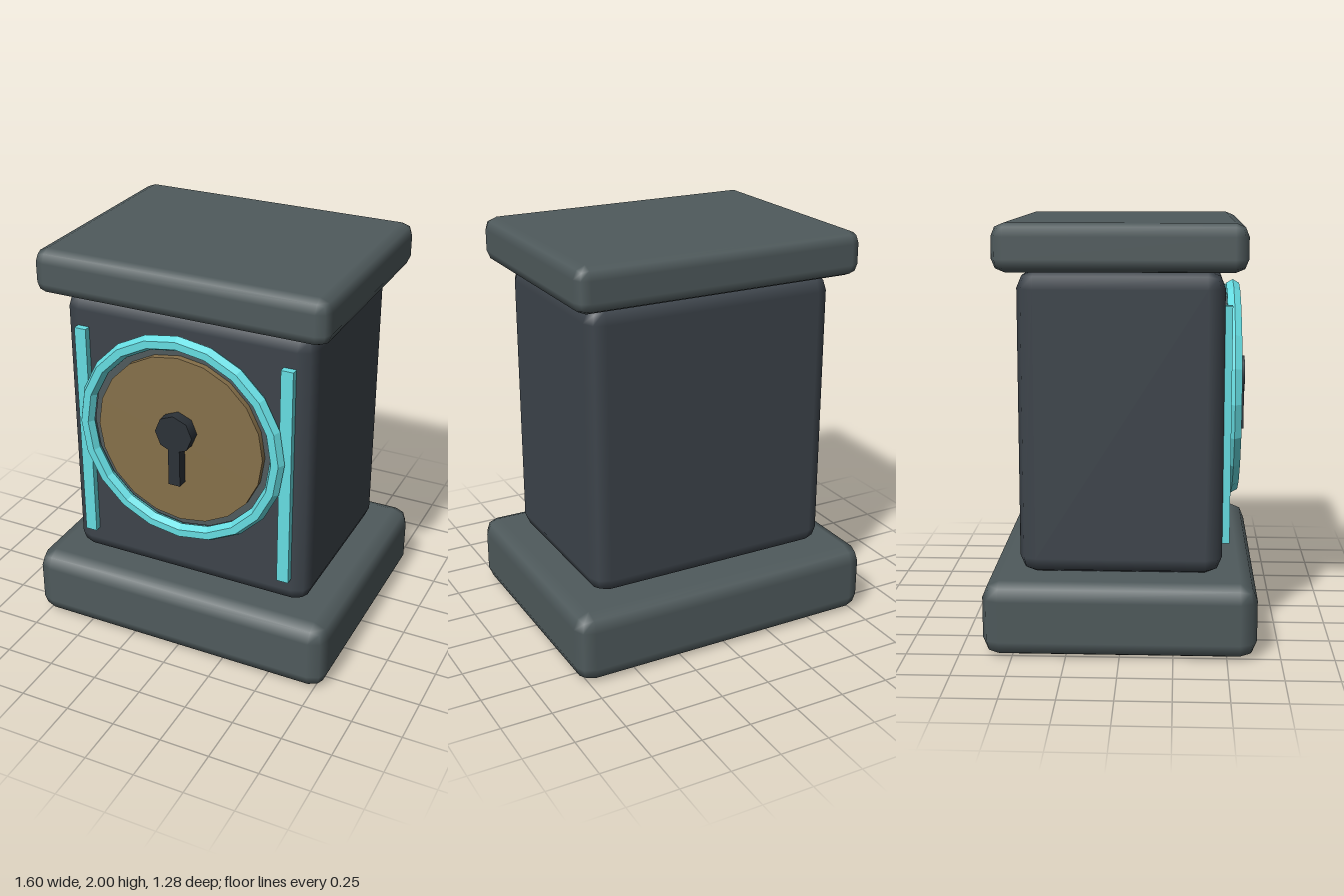
import * as THREE from 'three';
import { RoundedBoxGeometry } from 'three/addons/geometries/RoundedBoxGeometry.js';

const material = (color, flatShading = false) => new THREE.MeshStandardMaterial({ color, flatShading });

export function createModel() {
  const model = new THREE.Group();
  model.name = 'lockedPillarSafe';

  const stone = material(0x4f5a5c);
  const dark = material(0x3d444b);
  const glow = material(0x66dde2, true);
  const brass = material(0x86704a);
  const black = material(0x2c3238);

  const add = (name, geometry, mat, x, y, z) => {
    const mesh = new THREE.Mesh(geometry, mat);
    mesh.name = name;
    mesh.position.set(x, y, z);
    model.add(mesh);
    return mesh;
  };

  // Block with one-step bevelled edges, standing between two heights
  const block = (name, w, y0, y1, d, radius, mat) =>
    add(name, new RoundedBoxGeometry(w, y1 - y0, d, 1, radius), mat, 0, (y0 + y1) / 2, 0);

  // Disc facing the front, between two depths
  const disc = (name, radius, sides, y, z0, z1, mat) =>
    add(name, new THREE.CylinderGeometry(radius, radius, z1 - z0, sides).rotateX(Math.PI / 2),
      mat, 0, y, (z0 + z1) / 2);

  // Plinth, body and cap
  block('base', 1.6, 0, 0.355, 1.28, 0.08, stone);
  block('body', 1.28, 0.355, 1.78, 0.955, 0.08, dark);
  block('cap', 1.47, 1.78, 2, 1.15, 0.06, stone);

  // Round lock: backing, brass face and hexagonal-section ring
  const lockY = 1.157;
  disc('lockBacking', 0.47, 20, lockY, 0.46, 0.51, stone);
  disc('lockFace', 0.43, 20, lockY, 0.47, 0.54, brass);
  add('lockRing', new THREE.TorusGeometry(0.5, 0.037, 6, 20), glow, 0, lockY, 0.53);

  // Keyhole
  disc('keyholeTop', 0.096, 8, 1.217, 0.5, 0.595, black);
  add('keyholeSlot', new THREE.BoxGeometry(0.06, 0.25, 0.095), black, 0, 1.07, 0.547);

  // Glowing strips either side
  for (const side of [-1, 1]) {
    add(side > 0 ? 'leftStrip' : 'rightStrip',
      new THREE.BoxGeometry(0.06, 1.12, 0.042), glow, side * 0.53, 1.06, 0.491);
  }

  return model;
}
